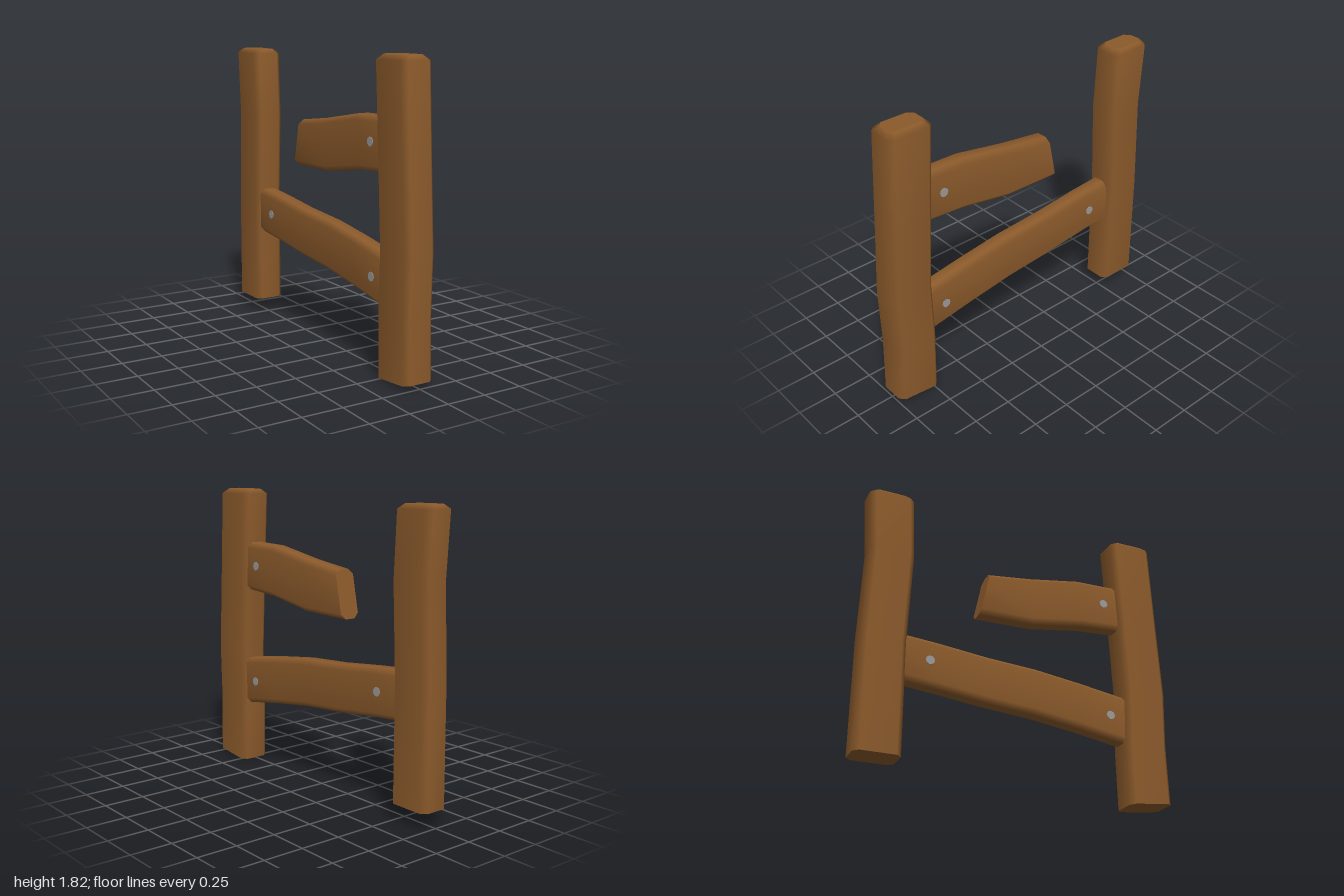
import * as THREE from 'three';

const wood = new THREE.MeshStandardMaterial({ color: 0x8b5a2b });
wood.name = 'wood';
const steel = new THREE.MeshStandardMaterial({ color: 0x9a9a9a });
steel.name = 'steel';

// Loft of chamfered rectangles. Each section is [zA, yA, zB, yB, halfWidth]:
// A and B are the two ends of the section in the side plane.
function beam(name, sections, chamfer) {
  const pos = [], idx = [];
  const rings = sections.map(([za, ya, zb, yb, w]) => {
    const L = Math.hypot(zb - za, yb - ya), c = chamfer;
    return [[w, c], [w, L - c], [w - c, L], [c - w, L], [-w, L - c], [-w, c], [c - w, 0], [w - c, 0]]
      .map(([x, t]) => [x, ya + (yb - ya) * t / L, za + (zb - za) * t / L]);
  });
  rings.forEach((r) => r.forEach((p) => pos.push(...p)));
  for (let i = 0; i < rings.length - 1; i++) {
    for (let j = 0; j < 8; j++) {
      const a = i * 8 + j, b = i * 8 + (j + 1) % 8;
      idx.push(a, b, b + 8, a, b + 8, a + 8);
    }
  }
  // End caps with their own vertices keep the cut edges crisp
  [rings[0], rings[rings.length - 1]].forEach((r, end) => {
    const o = pos.length / 3;
    r.forEach((p) => pos.push(...p));
    for (let j = 1; j < 7; j++) {
      if (end) idx.push(o, o + j, o + j + 1);
      else idx.push(o, o + j + 1, o + j);
    }
  });
  const g = new THREE.BufferGeometry();
  g.setAttribute('position', new THREE.Float32BufferAttribute(pos, 3));
  g.setIndex(idx);
  g.computeVertexNormals();
  const mesh = new THREE.Mesh(g, wood);
  mesh.name = name;
  return mesh;
}

export function createModel() {
  const model = new THREE.Group();
  model.name = 'brokenFence';

  // Upright posts, slightly warped, with bevelled tops
  model.add(beam('frontPost', [
    [1.0, 0.03, 0.713, 0.0, 0.1],
    [0.99, 0.4, 0.705, 0.38, 0.1],
    [1.0, 0.76, 0.715, 0.74, 0.1],
    [0.972, 1.25, 0.688, 1.25, 0.1],
    [0.943, 1.79, 0.657, 1.79, 0.1],
    [0.913, 1.82, 0.685, 1.82, 0.068],
  ], 0.032));
  model.add(beam('backPost', [
    [-0.722, 0.1, -1.0, 0.1, 0.096],
    [-0.725, 0.8, -0.997, 0.8, 0.096],
    [-0.702, 1.37, -0.975, 1.39, 0.096],
    [-0.722, 1.765, -1.0, 1.77, 0.096],
    [-0.75, 1.793, -0.975, 1.797, 0.066],
  ], 0.032));

  // Rails: the upper one is snapped off at its far end
  model.add(beam('brokenRail', [
    [0.76, 1.48, 0.76, 1.17, 0.066],
    [0.42, 1.472, 0.44, 1.15, 0.066],
    [0.08, 1.415, 0.1, 1.095, 0.066],
    [-0.205, 1.38, -0.265, 1.09, 0.066],
  ], 0.032));
  model.add(beam('lowerRail', [
    [0.77, 0.695, 0.75, 0.39, 0.066],
    [0.42, 0.75, 0.4, 0.448, 0.066],
    [0.12, 0.79, 0.1, 0.49, 0.066],
    [-0.2, 0.812, -0.21, 0.515, 0.066],
    [-0.52, 0.847, -0.53, 0.552, 0.066],
    [-0.78, 0.868, -0.78, 0.575, 0.066],
  ], 0.032));

  // Nail heads on both faces of the rails
  const nailGeo = new THREE.CylinderGeometry(0.028, 0.028, 0.008, 10).rotateZ(Math.PI / 2);
  for (const [z, y] of [[0.59, 1.33], [0.61, 0.56], [-0.575, 0.715]]) {
    for (const side of [-1, 1]) {
      const nail = new THREE.Mesh(nailGeo, steel);
      nail.name = side > 0 ? 'leftNail' : 'rightNail';
      nail.position.set(side * 0.066, y, z);
      model.add(nail);
    }
  }
  return model;
}
